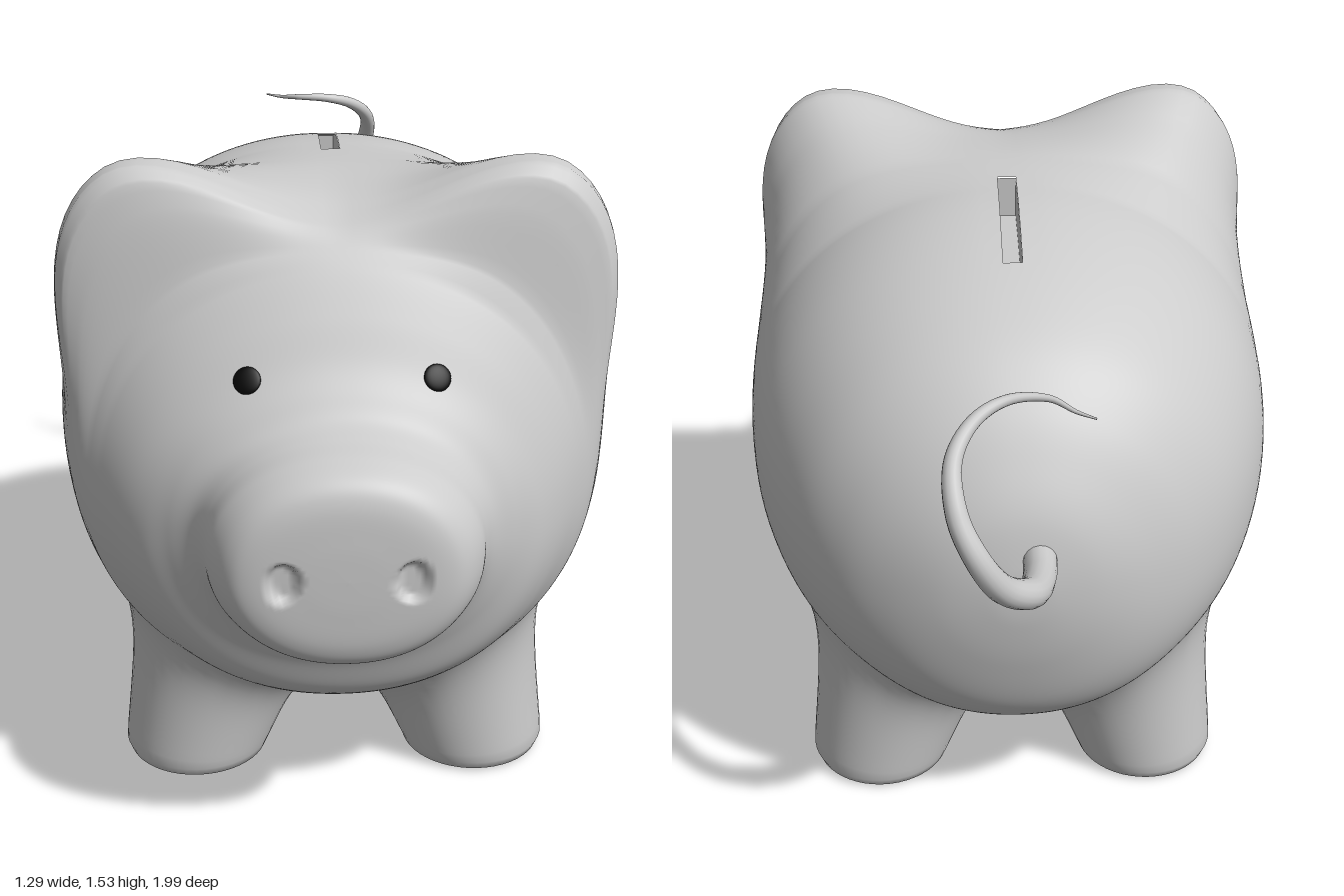
import * as THREE from 'three';

const P = 2.12;      // roundness of the body cross-sections
const COLS = 144;    // divisions around the body
const SLOT = { x: 0.022, front: 0.1, back: -0.26 };

// Body stations from snout to rump: z, half width, top, bottom
const STATIONS = [
  [0.99, 0, 0.785, 0.785], [0.988, 0.1, 0.87, 0.7], [0.98, 0.2, 0.95, 0.62],
  [0.955, 0.25, 0.995, 0.575], [0.9, 0.285, 1.02, 0.555], [0.84, 0.3, 1.035, 0.54],
  [0.79, 0.325, 1.055, 0.515], [0.75, 0.375, 1.1, 0.45], [0.71, 0.43, 1.15, 0.36],
  [0.66, 0.48, 1.235, 0.315], [0.6, 0.53, 1.325, 0.285], [0.55, 0.57, 1.375, 0.265],
  [0.5, 0.59, 1.4, 0.25], [0.4, 0.615, 1.43, 0.215], [0.25, 0.64, 1.448, 0.195],
  [0.1, 0.645, 1.445, 0.19], [-0.05, 0.635, 1.435, 0.195], [-0.2, 0.61, 1.405, 0.215],
  [-0.35, 0.56, 1.355, 0.25], [-0.48, 0.49, 1.29, 0.305], [-0.58, 0.4, 1.2, 0.36],
  [-0.65, 0.3, 1.1, 0.45], [-0.7, 0.19, 1.0, 0.6], [-0.725, 0.08, 0.89, 0.73],
  [-0.73, 0, 0.82, 0.82],
];

// Ear height along the body: steep in front, fading out behind
const EAR = [[0.6, 0], [0.57, 0.12], [0.55, 0.6], [0.53, 0.92], [0.5, 1], [0.45, 0.95],
  [0.35, 0.62], [0.2, 0.2], [0.05, 0]];

function earHeight(z) {
  for (let i = 1; i < EAR.length; i++) {
    const [z0, a0] = EAR[i - 1], [z1, a1] = EAR[i];
    if (z <= z0 && z >= z1) return THREE.MathUtils.lerp(a0, a1, (z0 - z) / (z0 - z1));
  }
  return 0;
}

// Smooth sections through the stations
function makeSections() {
  const curve = (f) => new THREE.CatmullRomCurve3(
    STATIONS.map((s) => new THREE.Vector3(...f(s))), false, 'catmullrom', 0.5);
  const along = curve((s) => [s[0], s[1], 0]);
  const upright = curve((s) => [s[2], s[3], 0]);
  const n = (STATIONS.length - 1) * 9;
  return Array.from({ length: n + 1 }, (_, i) => {
    const a = along.getPoint(i / n), u = upright.getPoint(i / n);
    return { z: a.x, w: Math.max(a.y, 0), cy: (u.x + u.y) / 2, ry: Math.max((u.x - u.y) / 2, 0) };
  });
}
const sections = makeSections();
const sectionAt = (z) => sections.reduce((a, b) => (Math.abs(b.z - z) < Math.abs(a.z - z) ? b : a));

// Height of the belly above a point on the floor
function bellyY(x, z) {
  const s = sectionAt(z);
  const k = Math.min(Math.abs(x) / s.w, 1);
  return s.cy - s.ry * (1 - k ** P) ** (1 / P);
}

// Depth of the face at a point seen from the front
function faceZ(x, y) {
  let last = null;
  for (const s of sections) {
    if (s.w < 0.01) continue;
    const f = (Math.abs(x) / s.w) ** P + (Math.abs(y - s.cy) / s.ry) ** P - 1;
    if (f <= 0) return last ? THREE.MathUtils.lerp(s.z, last.z, -f / (last.f - f)) : s.z;
    last = { z: s.z, f };
  }
  return 0;
}

// Skin over rows of points, each row a closed loop
function skin(rows, skip = () => false) {
  const n = rows[0].length, index = [];
  for (let i = 0; i < rows.length - 1; i++) {
    for (let j = 0; j < n; j++) {
      if (skip(i, j)) continue;
      const k = (j + 1) % n;
      const a = i * n + j, b = i * n + k, c = a + n, d = b + n;
      index.push(a, b, c, b, d, c);
    }
  }
  const geometry = new THREE.BufferGeometry();
  geometry.setAttribute('position', new THREE.Float32BufferAttribute(rows.flat(2), 3));
  geometry.setIndex(index);
  geometry.computeVertexNormals();
  return geometry;
}

const inSlot = (z) => z <= SLOT.front && z >= SLOT.back;

// Body, snout and ears in one skin, open at the coin slot
function bodyGeometry() {
  const rows = sections.map(({ z, w, cy, ry }) => {
    const ear = 0.25 * earHeight(z);
    return Array.from({ length: COLS }, (_, j) => {
      const t = (j / COLS) * Math.PI * 2, s = Math.sin(t), c = Math.cos(t);
      let x = w * Math.sign(s) * Math.abs(s) ** (2 / P);
      let dy = ry * Math.sign(c) * Math.abs(c) ** (2 / P);
      let depth = z;
      if (ear > 0) {
        const angle = THREE.MathUtils.radToDeg(Math.atan2(dy, Math.abs(x))) - 53;
        const bump = ear * Math.exp(-0.5 * (angle / (angle > 0 ? 13 : 18)) ** 2);
        const r = Math.hypot(x, dy);
        x *= 1 + bump / r;
        dy *= 1 + bump / r;
      }
      // Nostril dents
      if (z > 0.95) {
        const d = Math.hypot((Math.abs(x) - 0.132) / 0.038, (cy + dy - 0.78) / 0.052);
        depth -= 0.018 * (1 - THREE.MathUtils.smoothstep(d, 0.65, 1));
      }
      if (inSlot(z) && (j === 1 || j === COLS - 1)) x = Math.sign(x) * SLOT.x;
      return [x, cy + dy, depth];
    });
  });
  const open = (i, j) => (j === 0 || j === COLS - 1) && inSlot(sections[i].z) && inSlot(sections[i + 1].z);
  return skin(rows, open);
}

// Inner walls of the coin slot
function slotGeometry() {
  const g = new THREE.BoxGeometry(SLOT.x * 2, 0.1, SLOT.front - SLOT.back, 1, 1, 16);
  g.translate(0, 0, (SLOT.front + SLOT.back) / 2);
  const p = g.attributes.position;
  for (let i = 0; i < p.count; i++) {
    const s = sectionAt(p.getZ(i));
    p.setY(i, s.cy + s.ry - (p.getY(i) > 0 ? 0.003 : 0.1));
  }
  return g;
}

// Leg leaning inward and flaring into the belly
function legGeometry(side, cz) {
  const n = 48;
  const ring = (r, cx, y) => Array.from({ length: n }, (_, j) => {
    const t = (j / n) * Math.PI * 2;
    return [cx + r * Math.sin(t), y, cz + r * Math.cos(t)];
  });
  const rows = [[0, 0], [0.148, 0], [0.152, 0], [0.168, 0.008], [0.176, 0.028]]
    .map(([r, y]) => ring(r, side * 0.34, y));
  for (let i = 1; i <= 16; i++) {
    const s = i / 16;
    const top = ring(0.255, side * 0.27, 0);
    rows.push(ring(0.177 + 0.02 * s + 0.058 * s ** 5, side * (0.34 - 0.07 * s), 0)
      .map(([x, , z], j) => [x, THREE.MathUtils.lerp(0.03, bellyY(top[j][0], top[j][2]) + 0.015, s), z]));
  }
  return skin(rows);
}

// Curled tail, thinning toward the tip
function tailGeometry() {
  const path = new THREE.CatmullRomCurve3([
    [-0.04, 0.905, -0.67], [-0.035, 0.91, -0.78], [-0.01, 0.94, -0.88], [0.05, 1.0, -0.945],
    [0.1, 1.09, -0.972], [0.14, 1.18, -0.945], [0.145, 1.27, -0.88], [0.1, 1.325, -0.82],
    [0.03, 1.35, -0.785], [-0.05, 1.353, -0.79], [-0.1, 1.345, -0.83], [-0.14, 1.345, -0.86],
  ].map((p) => new THREE.Vector3(...p)));
  const segs = 80, sides = 16;
  const g = new THREE.TubeGeometry(path, segs, 1, sides);
  const p = g.attributes.position, v = new THREE.Vector3();
  for (let i = 0; i < p.count; i++) {
    const t = Math.floor(i / (sides + 1)) / segs;
    const c = path.getPointAt(t);
    v.fromBufferAttribute(p, i).sub(c).multiplyScalar(0.002 + 0.036 * (1 - t ** 1.4)).add(c);
    p.setXYZ(i, v.x, v.y, v.z);
  }
  return g;
}

export function createModel() {
  const group = new THREE.Group();
  const grey = new THREE.MeshStandardMaterial({ color: 0xcccccc });
  const inside = new THREE.MeshStandardMaterial({ color: 0xcccccc, side: THREE.BackSide });
  const black = new THREE.MeshStandardMaterial({ color: 0x050505 });
  const add = (name, geometry, material = grey) => {
    const mesh = new THREE.Mesh(geometry, material);
    mesh.name = name;
    group.add(mesh);
    return mesh;
  };

  add('body', bodyGeometry());
  add('coinSlot', slotGeometry(), inside);
  add('tail', tailGeometry());

  for (const [label, side] of [['Left', 1], ['Right', -1]]) {
    add(`front${label}Leg`, legGeometry(side, 0.355));
    add(`back${label}Leg`, legGeometry(side, -0.255));

    // Eye lying flat on the face
    const x = side * 0.2, y = 1.115, e = 0.03;
    const eye = add(`eye${label}`, new THREE.SphereGeometry(1, 24, 16), black);
    eye.position.set(x, y, faceZ(x, y));
    const normal = new THREE.Vector3(
      (faceZ(x - e, y) - faceZ(x + e, y)) / (2 * e), (faceZ(x, y - e) - faceZ(x, y + e)) / (2 * e), 1);
    eye.lookAt(eye.position.clone().add(normal));
    eye.scale.set(0.03, 0.03, 0.007);
  }
  return group;
}
